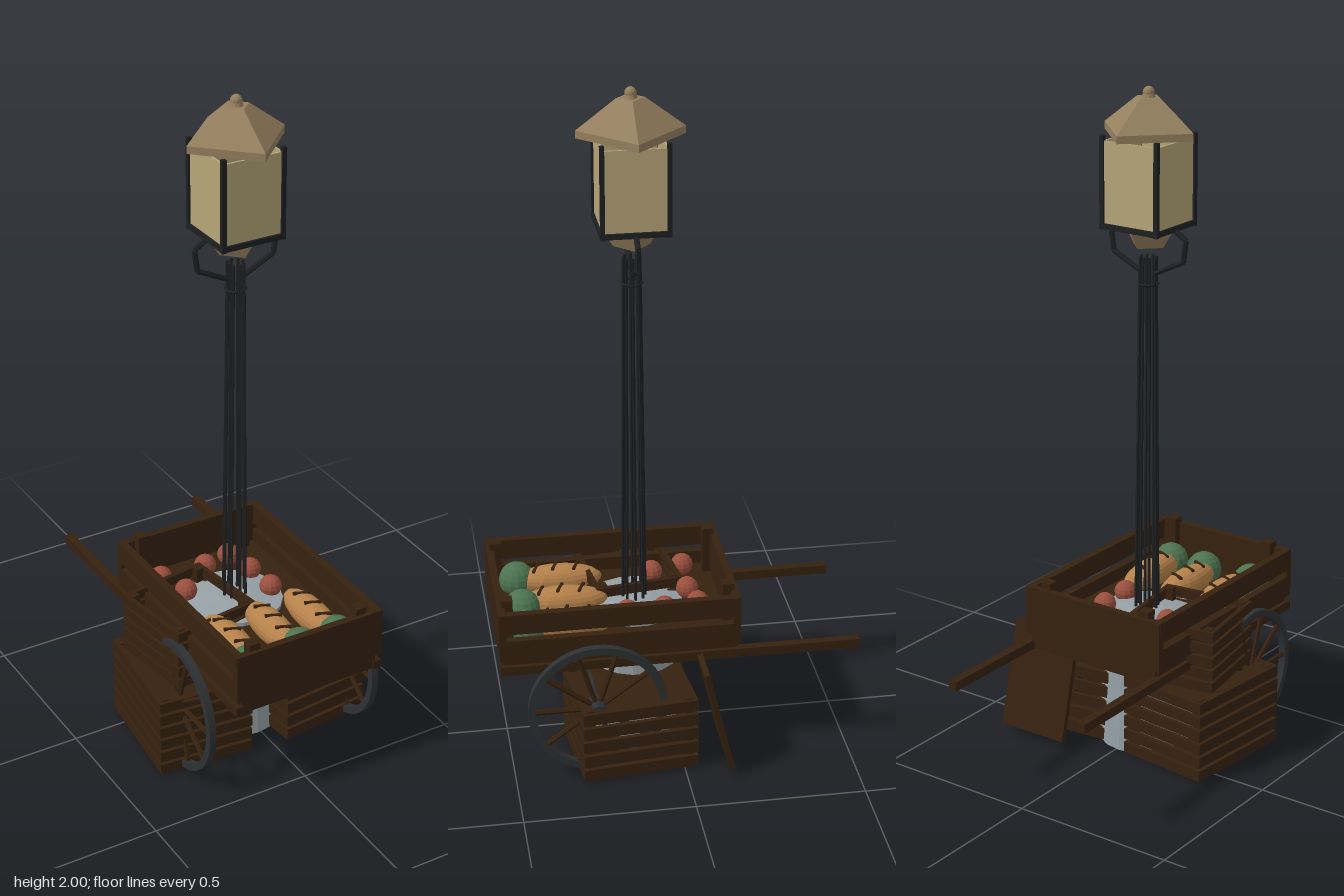
import * as THREE from 'three';

const mat = (name, color) => {
  const m = new THREE.MeshStandardMaterial({ color, flatShading: true, side: THREE.DoubleSide });
  m.name = name;
  return m;
};

export function createModel() {
  const wood = mat('dark wood', 0x36210f);
  const iron = mat('black iron', 0x1d1f21);
  const steel = mat('wheel iron', 0x2e3133);
  const stone = mat('grey stone', 0x95a0a5);
  const roofTan = mat('roof tan', 0x95805f);
  const glass = mat('lamp glass', 0xb6a678);
  const red = mat('tomato red', 0x9a4f3e);
  const crust = mat('bread crust', 0xb5814a);
  const green = mat('cabbage green', 0x4c7350);

  const root = new THREE.Group();
  root.name = 'lampAndCart';
  const group = (name, x = 0, y = 0, z = 0, parent = root) => {
    const g = new THREE.Group();
    g.name = name;
    g.position.set(x, y, z);
    parent.add(g);
    return g;
  };
  const add = (parent, name, geo, m, x = 0, y = 0, z = 0) => {
    const mesh = new THREE.Mesh(geo, m);
    mesh.name = name;
    mesh.position.set(x, y, z);
    parent.add(mesh);
    return mesh;
  };
  const box = (parent, name, w, h, d, x, y, z, m = wood) =>
    add(parent, name, new THREE.BoxGeometry(w, h, d), m, x, y, z);
  const rod = (parent, name, a, b, r, m, sides = 6) => {
    const dir = new THREE.Vector3().subVectors(b, a);
    const mesh = add(parent, name, new THREE.CylinderGeometry(r, r, dir.length(), sides), m);
    mesh.position.copy(a).addScaledVector(dir, 0.5);
    mesh.quaternion.setFromUnitVectors(new THREE.Vector3(0, 1, 0), dir.normalize());
    return mesh;
  };
  const V = (x, y, z) => new THREE.Vector3(x, y, z);

  // Lamp: stone foot and a pole made of thin rods
  const lamp = group('streetLamp', -0.01, 0, 0.105);
  const foot = [[0, 0], [0.145, 0], [0.135, 0.2], [0.13, 0.36], [0.145, 0.38], [0.145, 0.41], [0.05, 0.425], [0, 0.425]];
  add(lamp, 'stoneFoot', new THREE.LatheGeometry(foot.map(p => new THREE.Vector2(...p)), 18), stone);
  for (let i = 0; i < 8; i++) {
    const a = i * Math.PI / 4, c = Math.cos(a), s = Math.sin(a);
    rod(lamp, 'poleRod', V(c * 0.034, 0.41, s * 0.034), V(c * 0.024, 1.51, s * 0.024), 0.0045, iron, 5);
  }
  const ring = add(lamp, 'poleRing', new THREE.TorusGeometry(0.029, 0.004, 5, 16), iron, 0, 1.43, 0);
  ring.rotation.x = Math.PI / 2;

  // Bent brackets holding the lantern
  for (const s of [-1, 1]) {
    const pts = [[0.025, 1.463], [0.122, 1.51], [0.13, 1.575], [0.085, 1.605]].map(p => V(s * p[0], p[1], 0));
    for (let i = 0; i < 3; i++) rod(lamp, 'bracket', pts[i], pts[i + 1], 0.008, iron);
  }

  // Lantern
  add(lamp, 'lanternBase', new THREE.CylinderGeometry(0.09, 0.052, 0.06, 4), roofTan, 0, 1.572, 0);
  for (let i = 0; i < 4; i++) {
    const side = group('lanternSide', 0, 0, 0, lamp);
    side.rotation.y = i * Math.PI / 2;
    box(side, 'glassPane', 0.18, 0.24, 0.006, 0, 1.73, 0.09, glass);
    box(side, 'lanternPost', 0.013, 0.27, 0.013, 0.093, 1.73, 0.093, iron);
    box(side, 'lanternSill', 0.2, 0.016, 0.02, 0, 1.605, 0.09, iron);
  }
  add(lamp, 'roofRim', new THREE.CylinderGeometry(0.153, 0.153, 0.022, 4), roofTan, 0, 1.872, 0);
  add(lamp, 'roof', new THREE.CylinderGeometry(0.04, 0.153, 0.086, 4), roofTan, 0, 1.926, 0);
  add(lamp, 'finialStem', new THREE.CylinderGeometry(0.015, 0.02, 0.016, 10), roofTan, 0, 1.976, 0);
  add(lamp, 'finial', new THREE.SphereGeometry(0.017, 10, 8), roofTan, 0, 1.983, 0);

  // Cart body
  const cart = group('cart', -0.01, 0, 0.178);
  box(cart, 'cartFloor', 0.46, 0.06, 0.68, 0, 0.368, 0);
  for (const s of [-1, 1]) {
    box(cart, 'sidePlankTop', 0.024, 0.063, 0.7, s * 0.231, 0.493, 0);
    box(cart, 'sidePlankBottom', 0.024, 0.065, 0.7, s * 0.231, 0.407, 0);
    box(cart, 'handle', 0.026, 0.028, 1.065, s * 0.23, 0.34, -0.18);
    box(cart, 'endBoard', 0.484, 0.15, 0.022, 0, 0.45, s * 0.343);
    box(cart, 'endSill', 0.45, 0.045, 0.02, 0, 0.35, s * 0.338);
    for (const t of [-1, 1]) box(cart, 'cornerPost', 0.034, 0.2, 0.034, s * 0.177, 0.445, t * 0.325);
  }

  // Wheels and axle
  rod(cart, 'axle', V(-0.29, 0.215, 0.075), V(0.29, 0.215, 0.075), 0.014, steel, 8);
  for (const s of [-1, 1]) {
    const wheel = group('wheel', s * 0.277, 0.215, 0.075, cart);
    wheel.rotation.y = Math.PI / 2;
    const rim = new THREE.Shape().absarc(0, 0, 0.205, 0, Math.PI * 2);
    rim.holes.push(new THREE.Path().absarc(0, 0, 0.183, 0, Math.PI * 2, true));
    add(wheel, 'rim', new THREE.ExtrudeGeometry(rim, { depth: 0.022, bevelEnabled: false, curveSegments: 28 }), steel, 0, 0, -0.011);
    const hub = add(wheel, 'hub', new THREE.CylinderGeometry(0.026, 0.026, 0.07, 10), steel);
    hub.rotation.x = Math.PI / 2;
    for (let i = 0; i < 10; i++) {
      const a = i * Math.PI / 5;
      rod(wheel, 'spoke', V(0, 0, 0), V(Math.cos(a) * 0.188, Math.sin(a) * 0.188, 0), 0.008, wood);
    }
  }

  // Slatted crates
  const crate = (name, w, h, d, rows, x, y, z, turn, lid) => {
    const g = group(name, x, y, z);
    g.rotation.y = turn;
    const pitch = h / rows;
    for (let i = 0; i < rows; i++) {
      const cy = (i + 0.5) * pitch;
      for (const s of [-1, 1]) {
        box(g, 'slat', w, pitch * 0.76, 0.014, 0, cy, s * (d / 2 - 0.007));
        box(g, 'slat', 0.014, pitch * 0.76, d, s * (w / 2 - 0.007), cy, 0);
      }
    }
    for (const s of [-1, 1]) for (const t of [-1, 1])
      box(g, 'cratePost', 0.024, h * 0.98, 0.024, s * (w / 2 - 0.024), h / 2, t * (d / 2 - 0.024));
    box(g, 'crateBottom', w - 0.01, 0.012, d - 0.01, 0, 0.007, 0);
    if (lid) box(g, 'crateLid', w - 0.004, 0.012, d - 0.004, 0, h - 0.014, 0);
  };
  crate('rightCrate', 0.295, 0.26, 0.365, 6, -0.2, 0, 0.12, -0.1, true);
  crate('leftCrate', 0.29, 0.235, 0.345, 5, 0.17, 0, 0.145, 0.1, true);
  crate('stackedCrate', 0.285, 0.2, 0.27, 5, -0.165, 0.26, 0.105, 0.14, false);

  // Board leaning against the back
  const board = box(root, 'leaningBoard', 0.23, 0.335, 0.016, 0.245, 0.185, -0.093);
  board.rotation.x = 0.235;

  // Produce
  const food = group('produce');
  const tomatoes = [[-0.165, -0.065], [-0.017, -0.057], [0.074, -0.074], [-0.135, 0.034], [0.09, 0.028], [0.095, 0.14]];
  for (const [x, z] of tomatoes)
    add(food, 'tomato', new THREE.SphereGeometry(0.034, 12, 8), red, x, 0.433, z);
  for (const x of [-0.162, 0.011, 0.136])
    add(food, 'cabbage', new THREE.SphereGeometry(0.055, 14, 10), green, x, 0.425, 0.443);
  for (const x of [-0.148, -0.01, 0.125]) {
    const loaf = group('bread', x, 0.425, 0.32, food);
    add(loaf, 'loaf', new THREE.SphereGeometry(1, 16, 12), crust).scale.set(0.048, 0.046, 0.135);
    for (const z of [-0.056, 0.008, 0.066]) {
      const cut = box(loaf, 'breadCut', 0.05, 0.008, 0.008, 0, 0.046 * Math.sqrt(1 - (z / 0.135) ** 2) - 0.001, z);
      cut.rotation.y = -0.4;
    }
  }
  return root;
}
